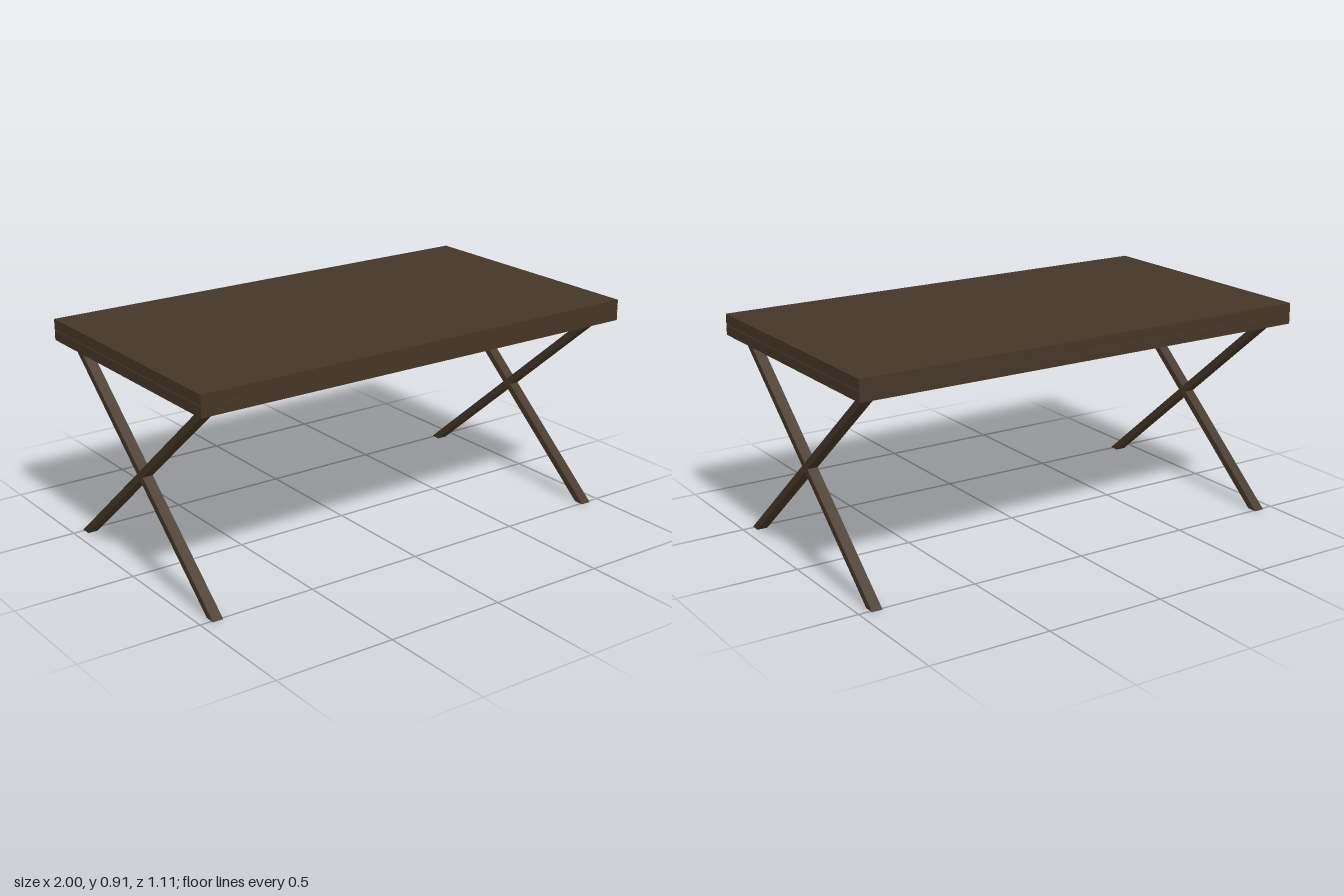
import * as THREE from 'three';

const wood = new THREE.MeshStandardMaterial({ color: 0x453627 });

const HALF_X = 1, HALF_Z = 0.556;      // table top half sizes
const UNDER = 0.82, TOP = 0.907;       // underside and top heights
const LEG_X = 0.928, LEG_W = 0.044;    // leg centre and thickness along x
const LEG_OUT = 0.51, LEG_IN = 0.466;  // leg foot extent along z

function slab(name, y0, y1, inset) {
  const mesh = new THREE.Mesh(
    new THREE.BoxGeometry(2 * (HALF_X - inset), y1 - y0, 2 * (HALF_Z - inset)), wood);
  mesh.position.y = (y0 + y1) / 2;
  mesh.name = name;
  return mesh;
}

// Slanted bar with ends cut level with the floor and the table underside
function legBar(dir) {
  const shape = new THREE.Shape([
    new THREE.Vector2(-LEG_OUT * dir, 0),
    new THREE.Vector2(-LEG_IN * dir, 0),
    new THREE.Vector2(LEG_OUT * dir, UNDER),
    new THREE.Vector2(LEG_IN * dir, UNDER),
  ]);
  const geo = new THREE.ExtrudeGeometry(shape, { depth: LEG_W, bevelEnabled: false });
  geo.translate(0, 0, -LEG_W / 2).rotateY(Math.PI / 2);
  const bar = new THREE.Mesh(geo, wood);
  bar.name = dir > 0 ? 'legRisingToBack' : 'legRisingToFront';
  return bar;
}

export function createModel() {
  const table = new THREE.Group();
  table.name = 'table';

  // Table top: two boards with a fine groove round the edge
  const top = new THREE.Group();
  top.name = 'tableTop';
  top.add(
    slab('lowerBoard', UNDER, 0.861, 0),
    slab('groove', 0.861, 0.864, 0.004),
    slab('upperBoard', 0.864, TOP, 0));
  table.add(top);

  // A crossed pair of legs at each end
  for (const side of [1, -1]) {
    const cross = new THREE.Group();
    cross.name = side > 0 ? 'leftLegs' : 'rightLegs';
    cross.position.x = side * LEG_X;
    cross.add(legBar(1), legBar(-1));
    table.add(cross);
  }
  return table;
}
